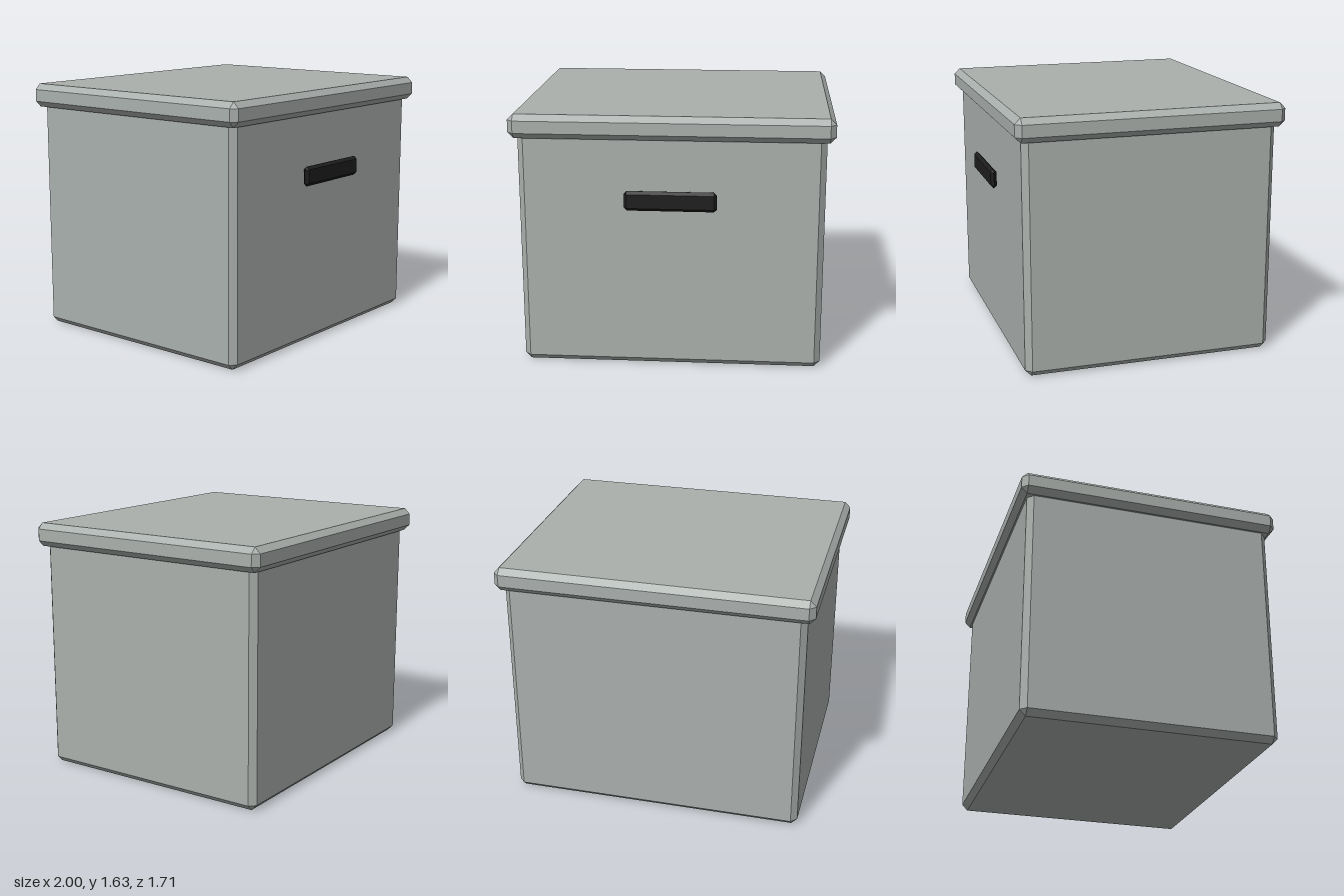
import * as THREE from 'three';
import { ConvexGeometry } from 'three/addons/geometries/ConvexGeometry.js';

// Box spanning min..max whose edges and corners are cut by a flat chamfer c
function chamferedBox(name, material, min, max, c) {
  const half = max.map((v, i) => (v - min[i]) / 2);
  const points = [];
  for (const sx of [-1, 1]) for (const sy of [-1, 1]) for (const sz of [-1, 1]) {
    for (let axis = 0; axis < 3; axis++) {
      const p = half.map((h, i) => (i === axis ? h : h - c));
      points.push(new THREE.Vector3(sx * p[0], sy * p[1], sz * p[2]));
    }
  }
  const mesh = new THREE.Mesh(new ConvexGeometry(points), material);
  mesh.name = name;
  mesh.position.set(...max.map((v, i) => (v + min[i]) / 2));
  return mesh;
}

export function createModel() {
  const group = new THREE.Group();
  group.name = 'storageBox';

  const grey = new THREE.MeshStandardMaterial({ color: 0xaab0ad });
  grey.name = 'paleGrey';
  const black = new THREE.MeshStandardMaterial({ color: 0x1e1e1e });
  black.name = 'black';

  group.add(
    // Body, its top tucked inside the lid
    chamferedBox('body', grey, [-0.95, 0, -0.81], [0.95, 1.55, 0.806], 0.038),
    // Overhanging lid
    chamferedBox('lid', grey, [-1, 1.477, -0.857], [1, 1.628, 0.853], 0.037),
    // Handle standing just clear of the front
    chamferedBox('handle', black, [-0.288, 1.037, 0.819], [0.288, 1.162, 0.858], 0.0185),
  );
  return group;
}
